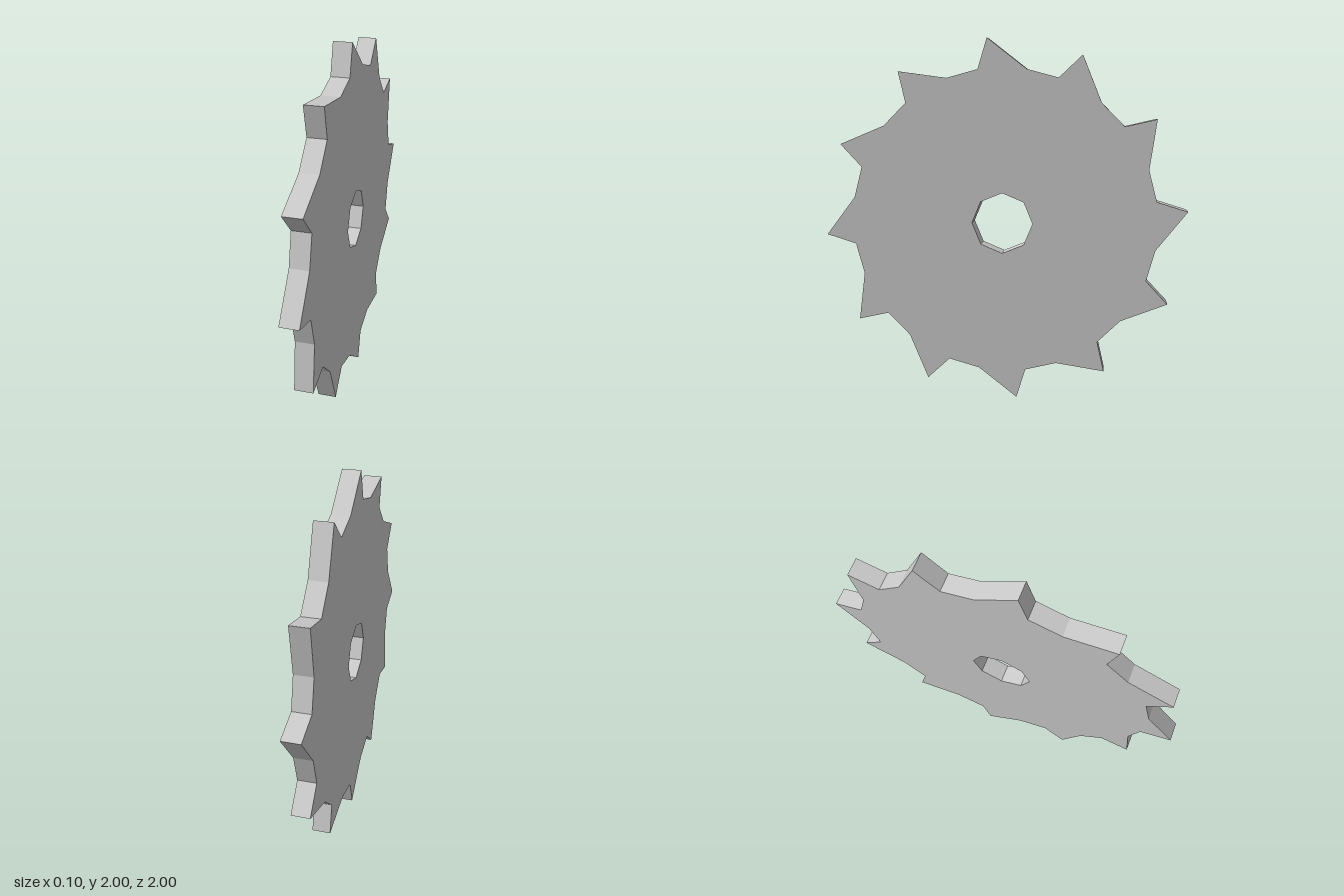
import * as THREE from 'three';

const TEETH = 12, ROOT_R = 0.845, TIP_R = 1.0034, HOLE_R = 0.168, THICKNESS = 0.1;

// Point on a circle, angle in degrees from the top
function polar(radius, degrees) {
  const a = THREE.MathUtils.degToRad(degrees);
  return new THREE.Vector2(-radius * Math.sin(a), radius * Math.cos(a));
}

export function createModel() {
  const group = new THREE.Group();
  group.name = 'sawBlade';

  // Toothed outline: each tooth is a leaning triangle on the root circle
  const outline = [];
  for (let i = 0; i < TEETH; i++) {
    const a = (i * 360) / TEETH;
    outline.push(polar(ROOT_R, a - 9), polar(TIP_R, a + 4.7), polar(ROOT_R, a + 9));
  }
  const shape = new THREE.Shape(outline);

  // Octagonal axle hole
  const hole = [];
  for (let i = 0; i < 8; i++) hole.push(polar(HOLE_R, -i * 45));
  shape.holes.push(new THREE.Path(hole));

  // Flat plate, turned so the disc faces sideways
  const geometry = new THREE.ExtrudeGeometry(shape, { depth: THICKNESS, bevelEnabled: false });
  geometry.translate(0, 0, -THICKNESS / 2);
  geometry.rotateY(Math.PI / 2);
  geometry.translate(0, 1, 0);

  const blade = new THREE.Mesh(
    geometry,
    new THREE.MeshStandardMaterial({ color: 0xcccccc, flatShading: true })
  );
  blade.name = 'toothedDisc';
  group.add(blade);
  return group;
}
